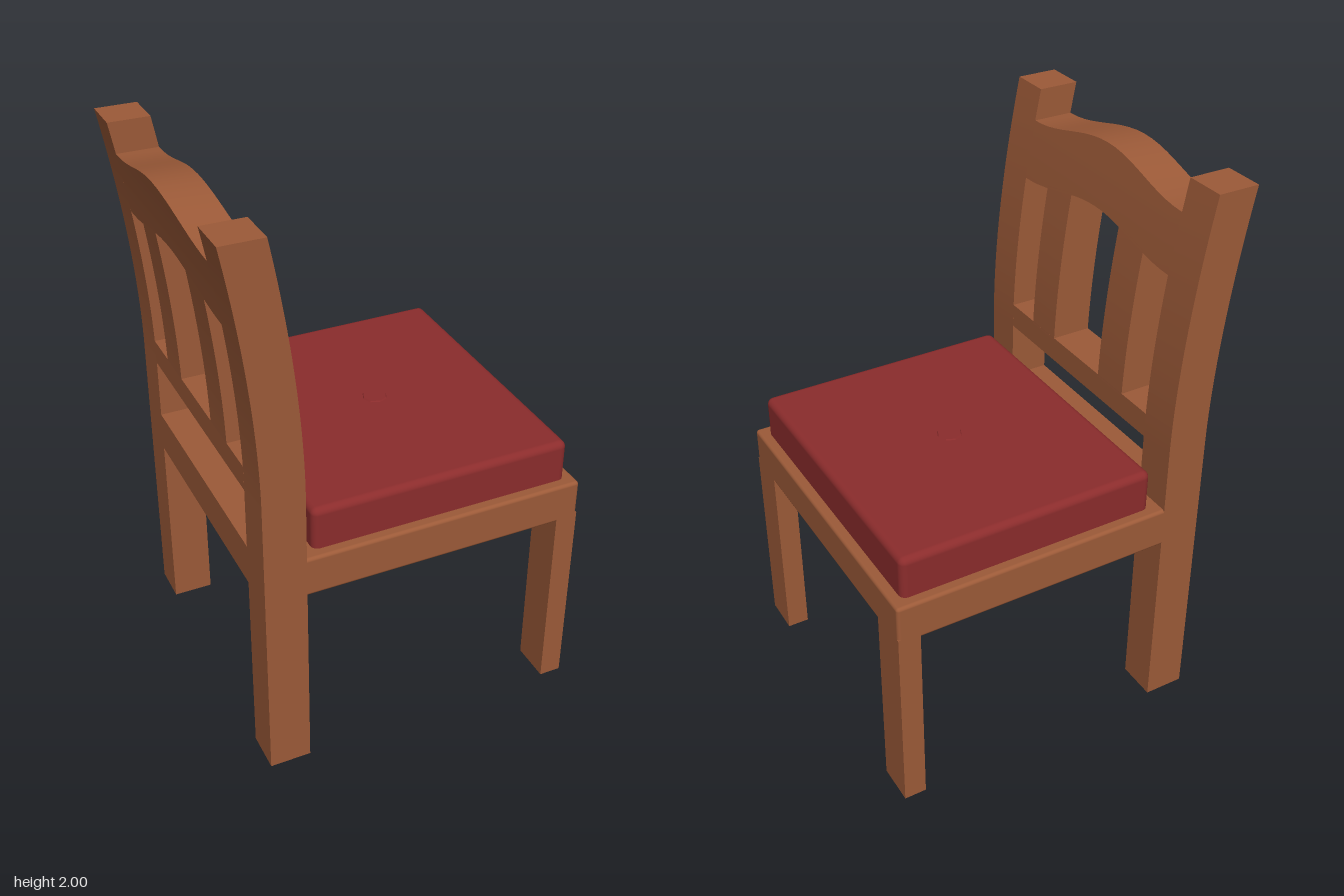
import * as THREE from 'three';
import { RoundedBoxGeometry } from 'three/addons/geometries/RoundedBoxGeometry.js';

const wood = new THREE.MeshStandardMaterial({ color: 0x9c5a38 });
const fabric = new THREE.MeshStandardMaterial({ color: 0x8b2c2c });

// Main measures: half width, inner face of the legs, back and front of the backrest
const HALF = 0.575, INNER = 0.43, BACK = -0.54, BACK_FRONT = -0.393, FRONT = 0.625;

// Backward lean of the backrest at height y
const lean = (y) => (y < 1.1 ? 0 : -0.1 * Math.pow((y - 1.1) / 0.9, 1.8));

// Arched outline of the top rail, flat at its ends
const arch = (x) => Math.pow(Math.cos((x / INNER) * Math.PI / 2), 2);

// Block between two x, two heights (numbers or functions of x) and two z; follows the lean
function block(name, x0, x1, bottom, top, z0, z1, nx = 1, ny = 1) {
  const geo = new THREE.BoxGeometry(1, 1, 1, nx, ny, 1);
  const pos = geo.attributes.position;
  const at = (v, x) => (typeof v === 'function' ? v(x) : v);
  for (let i = 0; i < pos.count; i++) {
    const x = THREE.MathUtils.lerp(x0, x1, pos.getX(i) + 0.5);
    const y = THREE.MathUtils.lerp(at(bottom, x), at(top, x), pos.getY(i) + 0.5);
    const z = THREE.MathUtils.lerp(z0, z1, pos.getZ(i) + 0.5);
    pos.setXYZ(i, x, y, z + lean(y));
  }
  geo.computeVertexNormals();
  const mesh = new THREE.Mesh(geo, wood);
  mesh.name = name;
  return mesh;
}

function rounded(name, material, x, y0, y1, z0, z1, radius) {
  const mesh = new THREE.Mesh(new RoundedBoxGeometry(2 * x, y1 - y0, z1 - z0, 3, radius), material);
  mesh.position.set(0, (y0 + y1) / 2, (z0 + z1) / 2);
  mesh.name = name;
  return mesh;
}

export function createModel() {
  const model = new THREE.Group();
  model.name = 'chair';
  const chair = new THREE.Group();
  chair.name = 'chairBody';
  chair.rotation.y = (3 * Math.PI) / 4; // the chair stands diagonally
  model.add(chair);

  // Legs and backrest slats, mirrored
  for (const [side, s] of [['left', 1], ['right', -1]]) {
    const span = (a, b) => (s > 0 ? [a, b] : [-b, -a]);
    chair.add(
      block(side + 'BackPost', ...span(INNER, HALF), 0, 2, BACK, BACK_FRONT, 1, 40),
      block(side + 'FrontLeg', ...span(INNER, HALF), 0, 0.73, 0.545, FRONT),
      block(side + 'Slat', ...span(0.143, 0.288), 1.16, (x) => 1.69 + 0.06 * arch(x), BACK, BACK_FRONT, 4, 12)
    );
  }

  // Backrest rails
  chair.add(
    block('backApron', -INNER, INNER, 0.71, 0.858, BACK, BACK_FRONT),
    block('lowerBackRail', -INNER, INNER, 1.08, 1.17, BACK, BACK_FRONT),
    block('topRail', -INNER, INNER, (x) => 1.68 + 0.06 * arch(x), (x) => 1.89 + 0.07 * arch(x),
      BACK, BACK_FRONT, 20, 6)
  );

  // Seat, cushion and its button
  chair.add(
    rounded('seat', wood, HALF, 0.71, 0.858, -0.42, FRONT, 0.012),
    rounded('cushion', fabric, 0.537, 0.82, 1.01, -0.355, 0.588, 0.025)
  );
  const button = new THREE.Mesh(new THREE.CylinderGeometry(0.042, 0.058, 0.02, 8), fabric.clone());
  button.material.flatShading = true;
  button.position.set(0, 1.004, 0.122);
  button.name = 'cushionButton';
  chair.add(button);

  return model;
}
